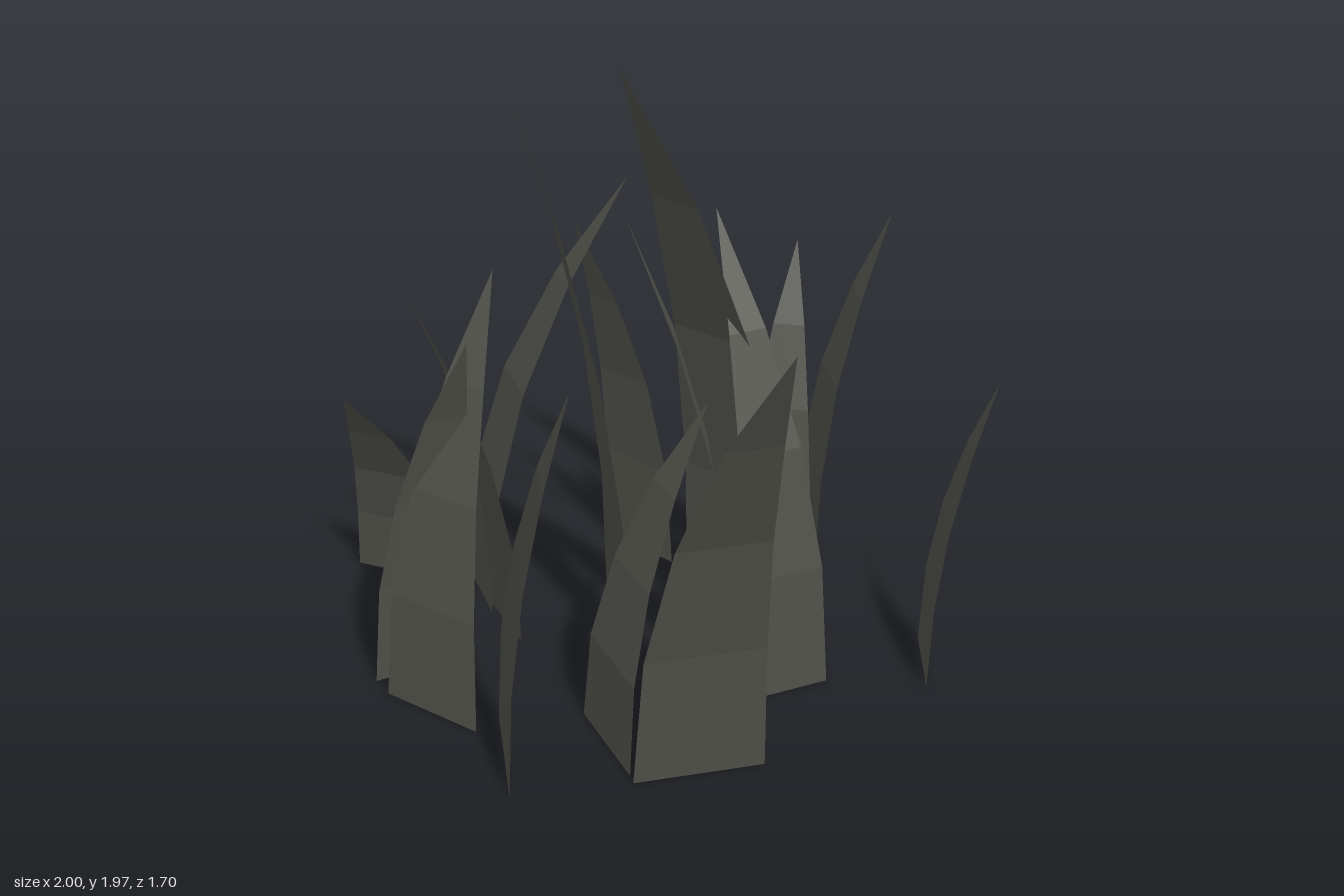
import * as THREE from 'three';

// Each blade: base corner A (x, z), base corner B (x, z), tip (x, z), tip height
const BLADES = [
  [-1.0, -0.19, -0.66, -0.17, -0.89, 0.09, 0.74],
  [-0.31, -0.62, -0.06, -0.52, -0.33, -0.39, 1.2],
  [-0.67, -0.29, -0.49, -0.05, -0.17, -0.41, 1.36],
  [-0.52, -0.11, -0.34, 0.08, -0.67, 0.09, 1.12],
  [-0.61, 0.47, -0.29, 0.57, -0.4, 0.09, 1.24],
  [-0.67, 0.42, -0.45, 0.2, -0.36, 0.39, 1.15],
  [-0.16, -0.19, 0.03, 0.14, -0.34, 0.11, 1.81],
  [0.12, -0.63, 0.17, -0.4, -0.13, -0.44, 1.49],
  [0.07, -0.28, 0.43, -0.16, 0.06, 0.3, 1.97],
  [0.3, 0.0, 0.42, 0.29, 0.05, 0.23, 1.52],
  [0.59, -0.02, 0.39, 0.17, 0.19, -0.14, 1.42],
  [0.29, -0.58, 0.39, -0.34, 0.06, -0.34, 0.88],
  [0.15, -0.55, 0.38, -0.58, 0.24, -0.83, 1.04],
  [0.25, -0.85, 0.39, -0.6, 0.55, -0.77, 1.2],
  [0.79, -0.34, 0.88, -0.08, 1.0, -0.29, 0.93],
  [-0.26, 0.47, -0.08, 0.84, 0.01, 0.57, 1.15],
  [-0.03, 0.38, 0.2, 0.63, 0.3, 0.27, 1.02],
  [0.22, 0.66, 0.54, 0.45, 0.71, 0.85, 1.5],
];

// Shared blade profile from root to tip
const RISE = [0, 0.27, 0.53, 0.77, 1];
const LEAN = [0, 0.06, 0.26, 0.58, 1];
const WIDTH = [1, 0.92, 0.71, 0.42, 0];

function bladeGeometry([ax, az, bx, bz, tx, tz, height]) {
  const mx = (ax + bx) / 2, mz = (az + bz) / 2;
  const hx = (bx - ax) / 2, hz = (bz - az) / 2;
  const positions = [], index = [];
  RISE.forEach((rise, i) => {
    const cx = mx + (tx - mx) * LEAN[i], cz = mz + (tz - mz) * LEAN[i];
    const w = WIDTH[i], y = rise * height;
    positions.push(cx - hx * w, y, cz - hz * w, cx + hx * w, y, cz + hz * w);
    if (i === 0) return;
    const a = 2 * (i - 1);
    index.push(a, a + 1, a + 2);
    if (w > 0) index.push(a + 1, a + 3, a + 2); // the last section is a single triangle
  });
  const geometry = new THREE.BufferGeometry();
  geometry.setAttribute('position', new THREE.Float32BufferAttribute(positions, 3));
  geometry.setIndex(index);
  const flat = geometry.toNonIndexed();
  flat.computeVertexNormals();
  return flat;
}

export function createModel() {
  const group = new THREE.Group();
  group.name = 'grassClump';
  const material = new THREE.MeshStandardMaterial({ color: 0x50504a, flatShading: true, side: THREE.DoubleSide });
  material.name = 'dark grass';
  BLADES.forEach((blade, i) => {
    const mesh = new THREE.Mesh(bladeGeometry(blade), material);
    mesh.name = `grassBlade${i + 1}`;
    group.add(mesh);
  });
  return group;
}
